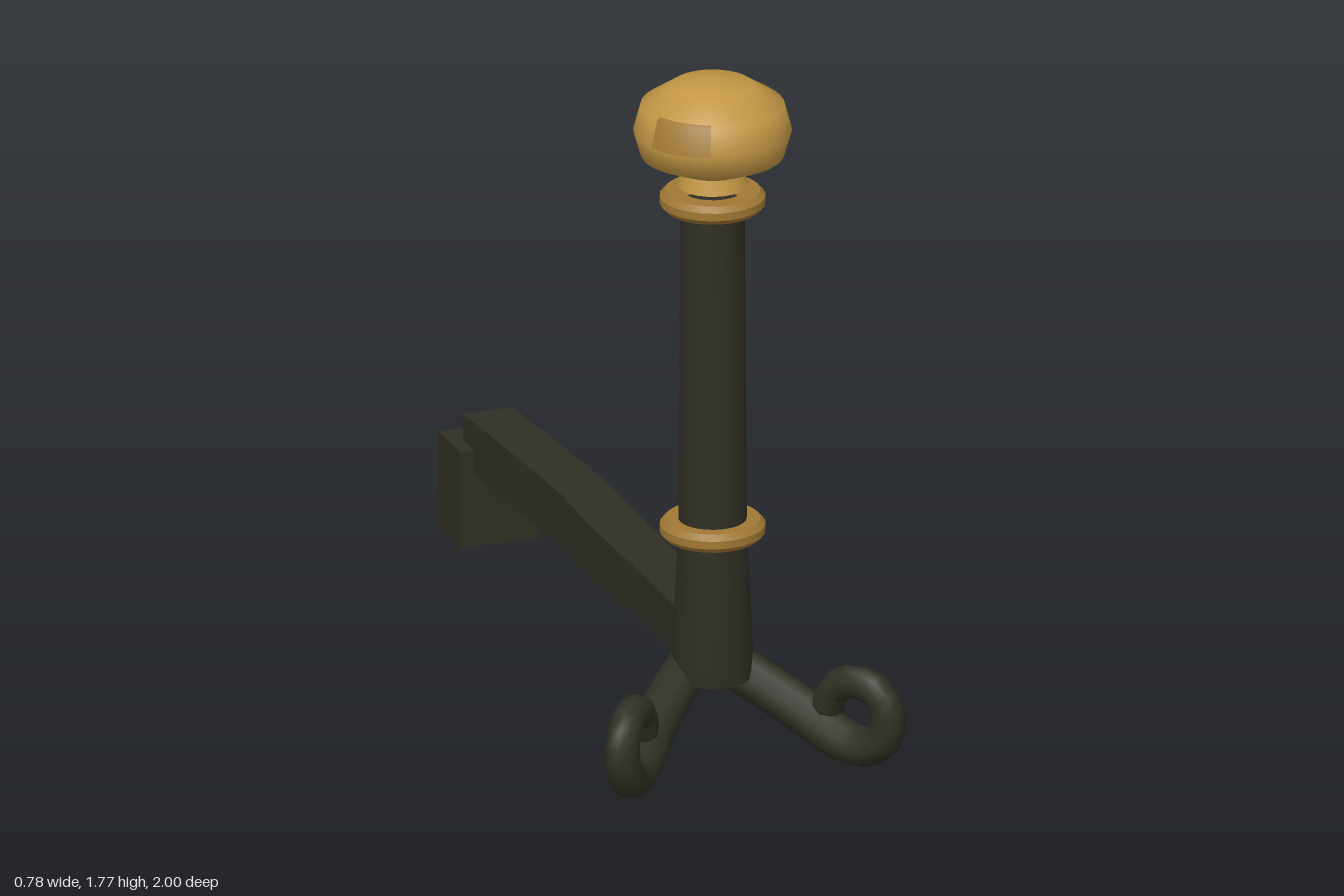
import * as THREE from 'three';
import { toCreasedNormals } from 'three/addons/utils/BufferGeometryUtils.js';

const POST_Z = 0.655;

export function createModel() {
  const group = new THREE.Group();
  const material = (name, color) => {
    const m = new THREE.MeshStandardMaterial({ color, side: THREE.DoubleSide });
    m.name = name;
    return m;
  };
  const iron = material('blackIron', 0x2f2f24);
  const brass = material('brass', 0xc39745);
  const darkBrass = material('agedBrass', 0xa07834);

  const add = (name, geometry, mat, z = 0) => {
    const mesh = new THREE.Mesh(geometry, mat);
    mesh.name = name;
    mesh.position.z = z;
    group.add(mesh);
    return mesh;
  };
  const lathe = (points, sides = 24, crease = 0.7, start = 0, sweep = Math.PI * 2) =>
    toCreasedNormals(
      new THREE.LatheGeometry(points.map(([r, y]) => new THREE.Vector2(r, y)), sides, start, sweep), crease);

  // Upright post, slightly flared at the foot
  add('post', lathe([[0, 0.2], [0.095, 0.2], [0.1, 0.26], [0.085, 0.6], [0.082, 1.0], [0.08, 1.45], [0, 1.45]]),
    iron, POST_Z);

  // Collars around the post
  for (const [name, y] of [['lowerCollar', 0.57], ['upperCollar', 1.438]]) {
    add(name, lathe([[0.075, y], [0.118, y], [0.131, y + 0.014], [0.131, y + 0.034], [0.118, y + 0.048],
      [0.075, y + 0.048]]), darkBrass, POST_Z);
  }

  // Flattened knob and its neck
  add('knob', lathe([[0, 1.54], [0.09, 1.543], [0.178, 1.582], [0.196, 1.645], [0.178, 1.712], [0.1, 1.764],
    [0, 1.775]], 32, 1), brass, POST_Z);
  add('knobNeck', lathe([[0, 1.5], [0.088, 1.5], [0.075, 1.545]]), brass, POST_Z);

  // Tarnished patches on the knob
  for (const [start, sweep] of [[-1.22, 0.84], [1.89, 0.24]]) {
    add('knobPatch', lathe([[0.198, 1.645], [0.18, 1.713], [0.17, 1.721]], 6, 1, start, sweep),
      darkBrass, POST_Z);
  }

  // Hand-forged rail: stations of [z, centre x, half width, bottom y, top y]
  const stations = [
    [0.6, 0, 0.068, 0.225, 0.36], [0.4, 0.003, 0.066, 0.235, 0.357], [0.1, -0.002, 0.068, 0.222, 0.36],
    [-0.05, 0.002, 0.07, 0.212, 0.355], [-0.25, 0.01, 0.067, 0.208, 0.352], [-0.45, 0.005, 0.068, 0.205, 0.348],
    [-0.7, -0.002, 0.067, 0.198, 0.338], [-0.92, -0.005, 0.064, 0.195, 0.325],
  ];
  const rail = new THREE.BoxGeometry(2, 1, 1, 1, 1, stations.length - 1);
  const pos = rail.attributes.position;
  for (let i = 0; i < pos.count; i++) {
    const k = Math.round((0.5 - pos.getZ(i)) * (stations.length - 1));
    const [z, cx, w, low, high] = stations[k];
    pos.setXYZ(i, cx + pos.getX(i) * w, pos.getY(i) > 0 ? high : low, z);
  }
  rail.computeVertexNormals();
  add('rail', rail, iron);

  // Block foot at the back
  const foot = add('backFoot', new THREE.BoxGeometry(0.21, 0.255, 0.155), iron, -0.9225);
  foot.position.y = 0.1275;

  // Front legs, each curling up into an eye
  const legPath = [
    [0.02, 0.235, 0.595], [0.11, 0.18, 0.67], [0.2, 0.118, 0.76], [0.255, 0.075, 0.84], [0.3, 0.06, 0.9],
    [0.338, 0.088, 0.945], [0.35, 0.15, 0.955], [0.335, 0.205, 0.935], [0.295, 0.228, 0.885],
    [0.257, 0.2, 0.835], [0.245, 0.15, 0.815],
  ];
  for (const side of [1, -1]) {
    const curve = new THREE.CatmullRomCurve3(legPath.map(([x, y, z]) => new THREE.Vector3(x * side, y, z)));
    const rings = 24, sides = 10;
    const leg = new THREE.TubeGeometry(curve, rings, 1, sides);
    const p = leg.attributes.position, v = new THREE.Vector3();
    for (let i = 0; i < p.count; i++) {
      const t = Math.floor(i / (sides + 1)) / rings;
      const centre = curve.getPointAt(t);
      const radius = 0.058 - 0.016 * THREE.MathUtils.smoothstep(t, 0.35, 0.8);
      v.fromBufferAttribute(p, i).sub(centre).multiplyScalar(radius).add(centre);
      p.setXYZ(i, v.x, v.y, v.z);
    }
    const name = side > 0 ? 'leftLeg' : 'rightLeg';
    add(name, leg, iron);
    // Rounded ends
    for (const [t, r] of [[0, 0.058], [1, 0.042]]) {
      add(name + 'End', new THREE.SphereGeometry(r, 10, 8), iron).position.copy(curve.getPointAt(t));
    }
  }
  return group;
}
